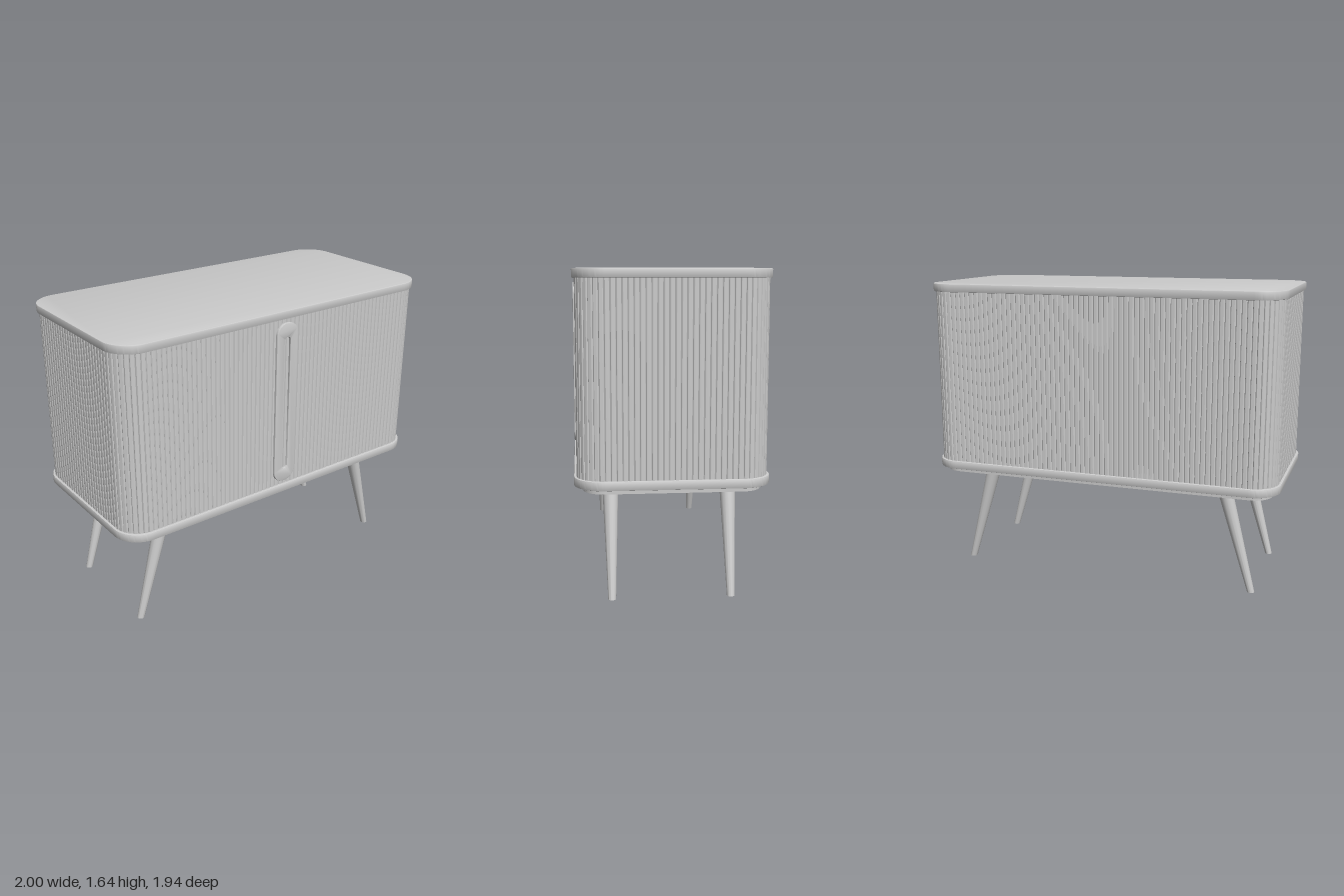
import * as THREE from 'three';
import { toCreasedNormals } from 'three/addons/utils/BufferGeometryUtils.js';

const A = 0.845, B = 0.335; // half distances between the corner centres
const material = new THREE.MeshStandardMaterial({ color: 0xcccccc });

function add(parent, name, geometry) {
  const mesh = new THREE.Mesh(geometry, material);
  mesh.name = name;
  parent.add(mesh);
  return mesh;
}

// Rounded rectangle with half sizes a + r and b + r
function roundedRect(a, b, r, Type = THREE.Shape) {
  const s = new Type();
  s.absarc(a, b, r, 0, Math.PI / 2);
  s.absarc(-a, b, r, Math.PI / 2, Math.PI);
  s.absarc(-a, -b, r, Math.PI, Math.PI * 1.5);
  s.absarc(a, -b, r, Math.PI * 1.5, Math.PI * 2);
  s.closePath();
  return s;
}

// Horizontal board between two heights, with slightly eased edges
function board(r, y0, y1, bevel) {
  const g = new THREE.ExtrudeGeometry(roundedRect(A, B, r - bevel), {
    depth: y1 - y0 - 2 * bevel, curveSegments: 16, bevelEnabled: bevel > 0,
    bevelSize: bevel, bevelThickness: bevel, bevelSegments: 2,
  });
  g.rotateX(-Math.PI / 2).translate(0, y0 + bevel, 0);
  return toCreasedNormals(g, 0.5);
}

// Point at distance s along the rounded outline, pushed inwards by inset
function outlinePoint(s, r, inset) {
  const arc = r * Math.PI / 2;
  const corners = [[A, B], [-A, B], [-A, -B], [A, -B]];
  for (let i = 0; i < 4; i++) {
    const [cx, cy] = corners[i], start = i * Math.PI / 2;
    const straight = i % 2 ? 2 * B : 2 * A;
    if (s <= arc) {
      const t = start + s / r;
      return new THREE.Vector2(cx + (r - inset) * Math.cos(t), cy + (r - inset) * Math.sin(t));
    }
    s -= arc;
    if (s <= straight) {
      const t = start + Math.PI / 2, c = Math.cos(t), n = Math.sin(t);
      return new THREE.Vector2(cx + (r - inset) * c - s * n, cy + (r - inset) * n + s * c);
    }
    s -= straight;
  }
  return new THREE.Vector2(A + r - inset, B);
}

// Tambour shell: flat slats separated by narrow V grooves
function slattedBody(r, y0, y1, count) {
  const length = 4 * A + 4 * B + 2 * Math.PI * r, pitch = length / count;
  const profile = [[0, 0.006], [0.13, 0.001], [0.25, 0], [0.75, 0], [0.87, 0.001]];
  const points = [];
  for (let i = 0; i < count; i++) {
    for (const [t, inset] of profile) points.push(outlinePoint((i + t) * pitch, r, inset));
  }
  const g = new THREE.ExtrudeGeometry(new THREE.Shape(points), { depth: y1 - y0, bevelEnabled: false });
  return g.rotateX(-Math.PI / 2).translate(0, y0, 0);
}

// Tapered leg leaning outwards, its foot cut level with the floor
function leg(sx, sz) {
  const h = 0.58;
  const g = new THREE.CylinderGeometry(0.042, 0.02, h, 28).translate(0, h / 2, 0);
  const p = g.attributes.position;
  for (let i = 0; i < p.count; i++) {
    p.setX(i, p.getX(i) + sx * (0.848 - 0.279 * p.getY(i)));
    p.setZ(i, p.getZ(i) + sz * 0.302);
  }
  g.computeVertexNormals();
  return toCreasedNormals(g, 0.6);
}

export function createModel() {
  const model = new THREE.Group();
  const cabinet = new THREE.Group();
  cabinet.name = 'cabinet';
  cabinet.rotation.y = THREE.MathUtils.degToRad(42.5);
  model.add(cabinet);

  add(cabinet, 'topBoard', board(0.15, 1.6, 1.645, 0.005));
  add(cabinet, 'slattedBody', slattedBody(0.137, 0.63, 1.605, 200));
  add(cabinet, 'bottomBoard', board(0.15, 0.593, 0.638, 0.005));
  add(cabinet, 'plinth', board(0.105, 0.567, 0.6, 0));

  // Long handle plate with a finger slot
  const plate = roundedRect(0.006, 0.394, 0.06);
  plate.holes.push(roundedRect(0.001, 0.363, 0.022, THREE.Path));
  const handle = new THREE.ExtrudeGeometry(plate, {
    depth: 0.018, curveSegments: 10, bevelSize: 0.004, bevelThickness: 0.004, bevelSegments: 2,
  });
  add(cabinet, 'doorHandle', toCreasedNormals(handle, 0.5)).position.set(0, 1.12, 0.463);

  // Four splayed legs
  for (const sx of [1, -1]) {
    for (const sz of [1, -1]) {
      add(cabinet, (sz > 0 ? 'front' : 'back') + (sx > 0 ? 'Left' : 'Right') + 'Leg', leg(sx, sz));
    }
  }
  return model;
}
